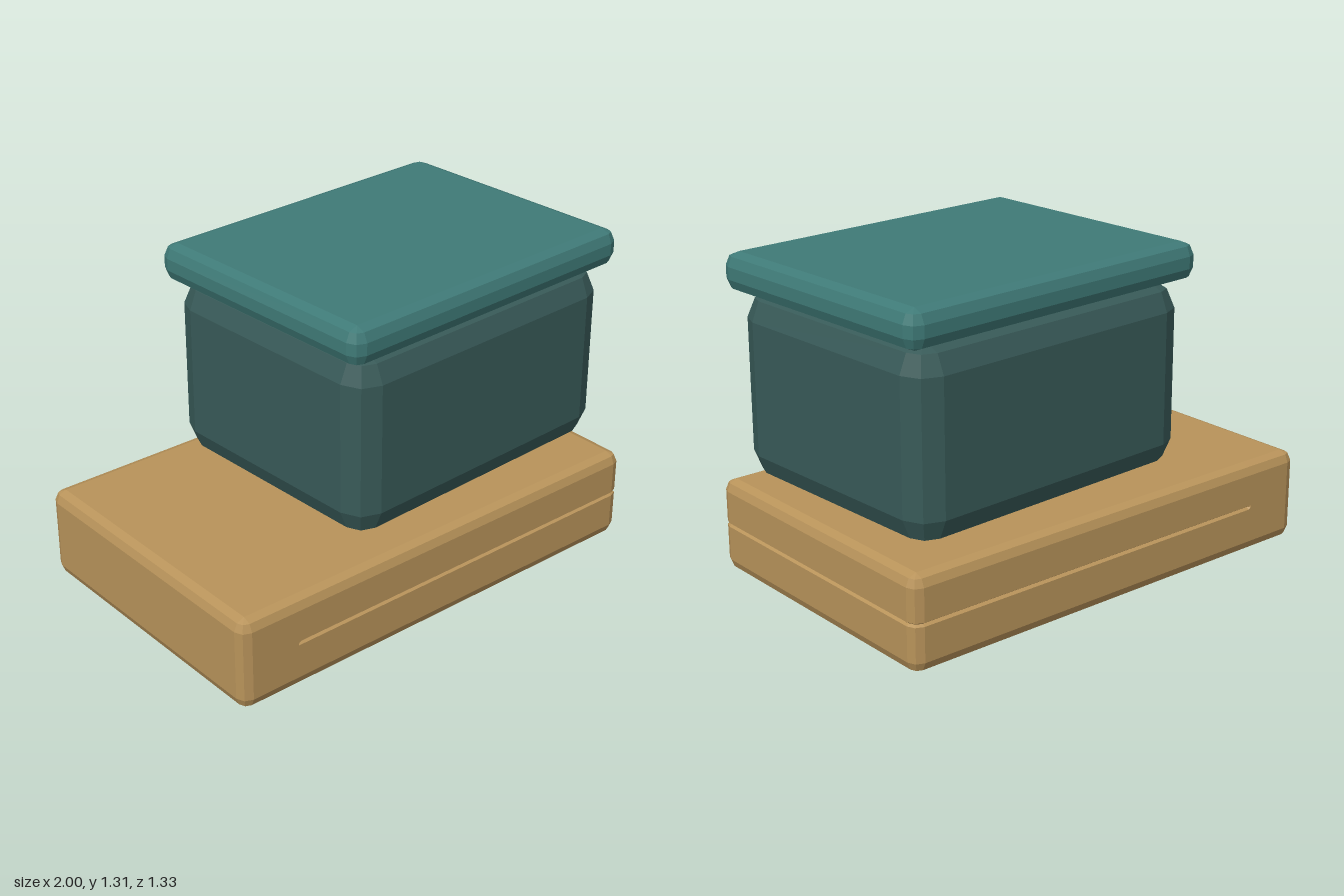
import * as THREE from 'three';

// Box with two-facet rounded edges, lofted from rounded-rectangle sections.
// An optional groove { x, y, half, depth } runs round the sides wherever local x > groove.x.
function bevelBox(w, h, d, r, groove) {
  const cx = w / 2 - r, cz = d / 2 - r;
  const outline = [];
  const signs = [[1, 1], [-1, 1], [-1, -1], [1, -1]];
  signs.forEach(([sx, sz], q) => {
    for (let k = 0; k <= 2; k++) {
      const a = (q + k / 2) * Math.PI / 2;
      outline.push({ x: sx * cx, z: sz * cz, nx: Math.cos(a), nz: Math.sin(a), cut: !!groove && sx > 0 });
    }
    // stop points of the groove on the front and back faces
    if (groove && q % 2 === 0) {
      const stops = [0.012, 0].map((o) => ({ x: groove.x + o, z: sz * cz, nx: 0, nz: sz, cut: o > 0 }));
      outline.push(...(q === 0 ? stops : stops.reverse()));
    }
  });

  const mid = r * (1 - Math.SQRT1_2);
  const levels = [[0, r, 0], [mid, mid, 0], [r, 0, 0]];
  if (groove) {
    levels.push([groove.y - groove.half, 0, 0], [groove.y, 0, groove.depth], [groove.y + groove.half, 0, 0]);
  }
  levels.push([h - r, 0, 0], [h - mid, mid, 0], [h, r, 0]);

  const rings = levels.map(([y, inset, cut]) => outline.map((p) => {
    const s = r - inset - (p.cut ? cut : 0);
    return new THREE.Vector3(p.x + p.nx * s, y, p.z + p.nz * s);
  }));

  const pos = [];
  const tri = (a, b, c) => {
    const area = b.clone().sub(a).cross(c.clone().sub(a)).length();
    if (area > 1e-9) for (const v of [a, b, c]) pos.push(v.x, v.y, v.z);
  };
  const n = outline.length, last = rings.length - 1;
  const bottom = new THREE.Vector3(0, 0, 0), top = new THREE.Vector3(0, h, 0);
  for (let i = 0; i < n; i++) {
    const j = (i + 1) % n;
    for (let l = 0; l < last; l++) {
      tri(rings[l][i], rings[l + 1][i], rings[l][j]);
      tri(rings[l][j], rings[l + 1][i], rings[l + 1][j]);
    }
    tri(bottom, rings[0][i], rings[0][j]);
    tri(top, rings[last][j], rings[last][i]);
  }
  const geo = new THREE.BufferGeometry();
  geo.setAttribute('position', new THREE.Float32BufferAttribute(pos, 3));
  geo.computeVertexNormals();
  return geo;
}

function part(name, geometry, color, x, y, z) {
  const mesh = new THREE.Mesh(geometry, new THREE.MeshStandardMaterial({ color, flatShading: true }));
  mesh.name = name;
  mesh.position.set(x, y, z);
  return mesh;
}

export function createModel() {
  const model = new THREE.Group();
  model.name = 'boxStack';

  // wide lower box, slightly turned, with a seam on three sides
  const seam = { x: -0.72, y: 0.193, half: 0.008, depth: 0.012 };
  const base = part('lowerBox', bevelBox(1.946, 0.377, 1.24, 0.045, seam), 0xb8935a, 0, 0, 0);
  base.rotation.y = -0.047;
  model.add(base);

  // upper container and its overhanging lid
  model.add(part('upperBox', bevelBox(1.322, 0.743, 1.066, 0.107), 0x385a58, 0.263, 0.422, 0));
  model.add(part('lid', bevelBox(1.408, 0.152, 1.106, 0.052), 0x3f7a77, 0.264, 1.163, 0));

  return model;
}
